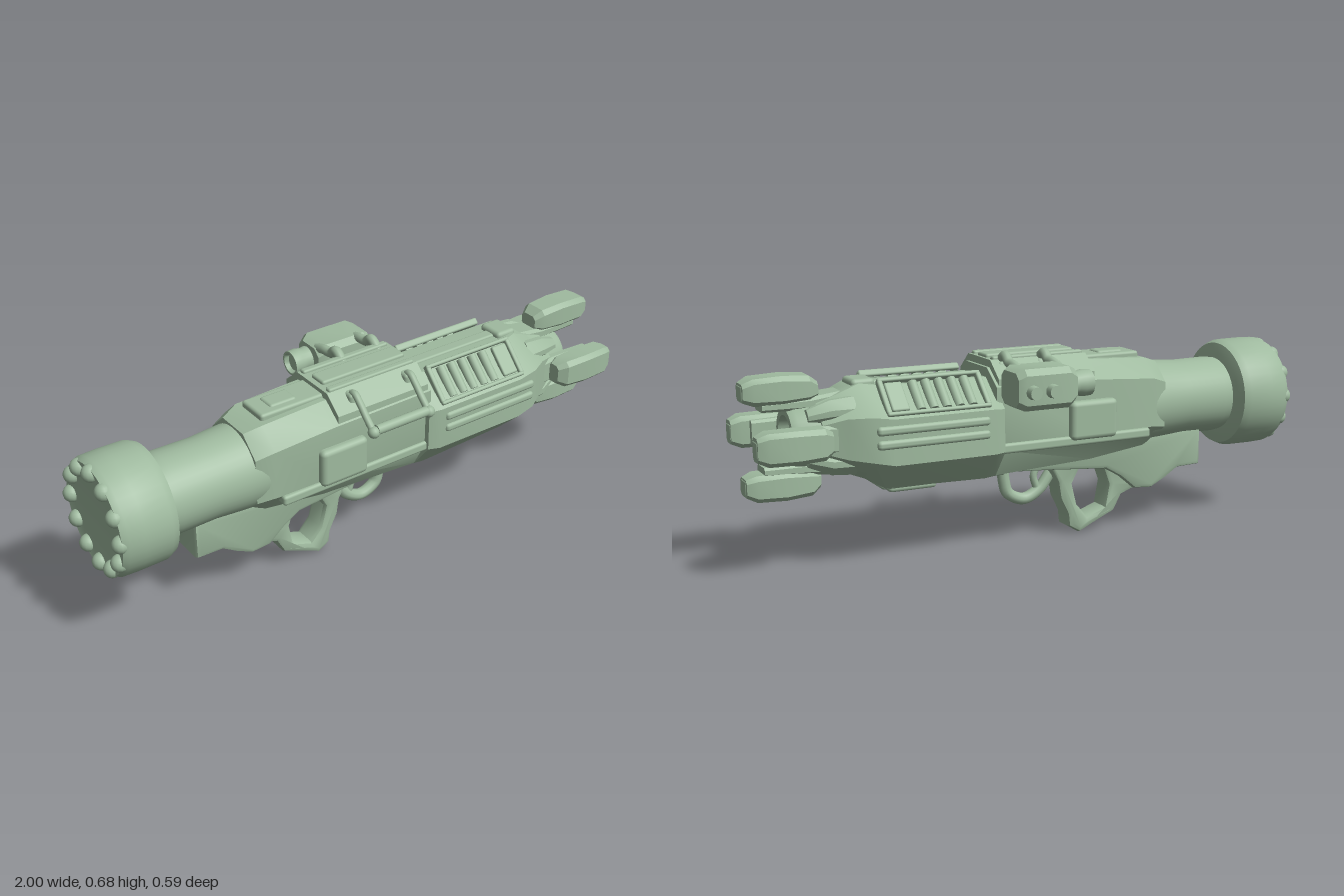
import * as THREE from 'three';
import { toCreasedNormals } from 'three/addons/utils/BufferGeometryUtils.js';
import { RoundedBoxGeometry } from 'three/addons/geometries/RoundedBoxGeometry.js';

const AXIS_Y = 0.455, AXIS_Z = 0.047;
const V = (x, y, z) => new THREE.Vector3(x, y, z);

// Loft of eight-sided sections along x:
// [x, halfWidth, bottom, top, topHalfFlat, bottomHalfFlat, lowShoulder, highShoulder]
function loft(sections) {
  const rings = sections.map(([x, w, yb, yt, ft, fb, yl, yh]) =>
    [[-ft, yt], [ft, yt], [w, yh], [w, yl], [fb, yb], [-fb, yb], [-w, yl], [-w, yh]].map(([z, y]) => [x, y, z]));
  const pos = [], tri = (a, b, c) => pos.push(...a, ...b, ...c);
  for (let s = 0; s + 1 < rings.length; s++) {
    for (let i = 0; i < 8; i++) {
      const j = (i + 1) % 8, p = rings[s], q = rings[s + 1];
      tri(p[i], p[j], q[j]);
      tri(p[i], q[j], q[i]);
    }
  }
  const first = rings[0], last = rings[rings.length - 1];
  for (let i = 1; i < 7; i++) {
    tri(last[0], last[i], last[i + 1]);
    tri(first[0], first[i + 1], first[i]);
  }
  const g = new THREE.BufferGeometry();
  g.setAttribute('position', new THREE.Float32BufferAttribute(pos, 3));
  return toCreasedNormals(g, 0.55);
}

// Chamfered section centred on y
const sec = (x, w, yb, yt, c = 0.02) => [x, w, yb, yt, w - c, w - c, yb + c, yt - c];

// Revolved part around the x axis from [radius, x] points
function turned(points, segments = 40) {
  const g = new THREE.LatheGeometry(points.map(p => new THREE.Vector2(...p)), segments);
  return toCreasedNormals(g.rotateZ(-Math.PI / 2), 0.6);
}

// Side outline extruded across z, with softened edges
function slab(points, width, bevel, hole) {
  const shape = new THREE.Shape(points.map(p => new THREE.Vector2(...p)));
  if (hole) shape.holes.push(new THREE.Path(hole.map(p => new THREE.Vector2(...p))));
  const depth = width - 2 * bevel;
  const g = new THREE.ExtrudeGeometry(shape, { depth, bevelThickness: bevel, bevelSize: bevel, bevelOffset: -bevel, bevelSegments: 2 });
  return toCreasedNormals(g.translate(0, 0, -depth / 2), 0.7);
}

const tube = (pts, r, n = 28) =>
  new THREE.TubeGeometry(new THREE.CatmullRomCurve3(pts.map(p => V(...p))), n, r, 10);

export function createModel() {
  const model = new THREE.Group();
  model.name = 'launcher';
  const metal = new THREE.MeshStandardMaterial({ color: 0x9fba9f });
  metal.name = 'pale green metal';
  const root = new THREE.Group();
  root.name = 'launcherBody';
  root.position.z = AXIS_Z;
  model.add(root);

  const add = (name, geo, x = 0, y = 0, z = 0, parent = root) => {
    const m = new THREE.Mesh(geo, metal);
    m.name = name;
    m.position.set(x, y, z);
    parent.add(m);
    return m;
  };
  const block = (name, x0, x1, y0, y1, z0, z1, r = 0.01) =>
    add(name, new RoundedBoxGeometry(x1 - x0, y1 - y0, z1 - z0, 2, r), (x0 + x1) / 2, (y0 + y1) / 2, (z0 + z1) / 2);

  // Rear drum with a ring of studs, and the round barrel
  add('rearDrum', turned([[0, -0.967], [0.15, -0.967], [0.185, -0.975], [0.195, -0.955], [0.197, -0.9], [0.196, -0.81],
    [0.185, -0.785], [0.155, -0.775], [0.13, -0.77]]), 0, AXIS_Y);
  add('barrel', turned([[0.13, -0.79], [0.137, -0.74], [0.135, -0.6], [0.142, -0.5], [0.147, -0.4]]), 0, AXIS_Y);
  for (let i = 0; i < 12; i++) {
    const a = (i / 12) * Math.PI * 2;
    add('rearStud', new THREE.SphereGeometry(0.029, 14, 10), -0.969, AXIS_Y + 0.163 * Math.cos(a), 0.163 * Math.sin(a));
  }

  // Receiver and raised top deck
  add('receiver', loft([
    [-0.48, 0.13, 0.33, 0.605, 0.06, 0.06, 0.38, 0.54],
    [-0.42, 0.15, 0.31, 0.625, 0.08, 0.08, 0.39, 0.56],
    [-0.2, 0.155, 0.285, 0.635, 0.08, 0.09, 0.38, 0.575],
    [0.19, 0.155, 0.27, 0.635, 0.08, 0.1, 0.37, 0.58]]));
  add('topDeck', loft([
    [-0.18, 0.15, 0.56, 0.66, 0.085, 0.13, 0.57, 0.605],
    [0.18, 0.15, 0.56, 0.66, 0.085, 0.13, 0.57, 0.605]]));
  block('rearTopPlate', -0.41, -0.17, 0.6, 0.646, -0.06, 0.06);
  block('rearTopStep', -0.36, -0.26, 0.62, 0.652, -0.035, 0.035);
  block('deckRidge', -0.16, 0.17, 0.645, 0.672, -0.035, 0.035, 0.008);
  for (const s of [-1, 1]) {
    const side = (name, x0, x1, y0, y1, d0, d1, r) => block(name, x0, x1, y0, y1, Math.min(s * d0, s * d1), Math.max(s * d0, s * d1), r);
    side('sideBox', -0.26, -0.08, 0.375, 0.51, 0.11, 0.18, 0.018);
    side('sideFlange', -0.4, 0.18, 0.355, 0.39, 0.12, 0.165, 0.01);
    side('deckRail', -0.17, 0.17, 0.645, 0.67, 0.06, 0.085, 0.007);
    // Long rails on the fore body
    side('sideRail', 0.23, 0.62, 0.465, 0.495, 0.16, 0.199, 0.012);
    side('sideRail', 0.23, 0.62, 0.42, 0.45, 0.16, 0.199, 0.012);
    // Ribbed window on each upper slope
    const panel = new THREE.Group();
    panel.name = 'ribbedPanel';
    panel.position.set(0.4, 0.573, s * 0.128);
    panel.rotation.x = s * 0.79;
    root.add(panel);
    for (const e of [-1, 1]) {
      add('panelFrame', new RoundedBoxGeometry(0.36, 0.025, 0.014, 2, 0.006), 0, 0, e * 0.066, panel);
      add('panelEnd', new RoundedBoxGeometry(0.018, 0.025, 0.13, 2, 0.006), e * 0.172, 0, 0, panel);
    }
    for (let i = 0; i < 5; i++)
      add('panelRib', new THREE.CylinderGeometry(0.016, 0.016, 0.11, 12).rotateX(Math.PI / 2), -0.12 + i * 0.045, -0.004, 0, panel);
    add('panelCover', new RoundedBoxGeometry(0.06, 0.018, 0.11, 2, 0.006), 0.13, 0, 0, panel);
  }

  // Fore body, tapering towards the muzzle
  add('foreBody', loft([
    [0.17, 0.175, 0.27, 0.6, 0.07, 0.1, 0.365, 0.51],
    [0.21, 0.19, 0.265, 0.605, 0.075, 0.1, 0.365, 0.515],
    [0.56, 0.19, 0.27, 0.605, 0.075, 0.09, 0.365, 0.515],
    [0.63, 0.185, 0.31, 0.615, 0.06, 0.08, 0.38, 0.525],
    [0.7, 0.145, 0.335, 0.585, 0.05, 0.06, 0.39, 0.52],
    [0.77, 0.11, 0.35, 0.56, 0.045, 0.045, 0.41, 0.5]]));
  block('topSpine', 0.2, 0.6, 0.59, 0.613, -0.022, 0.022, 0.008);
  block('foreTopBump', 0.57, 0.65, 0.59, 0.626, -0.05, 0.05, 0.014);
  block('lowerBlock', 0.365, 0.535, 0.243, 0.3, -0.06, 0.06, 0.012);
  block('lowerRail', 0.12, 0.57, 0.262, 0.3, -0.085, 0.085, 0.012);

  // Muzzle with a dished bore
  add('muzzle', turned([[0.13, 0.68], [0.108, 0.76], [0.1, 0.84], [0.088, 0.86], [0.068, 0.86], [0.064, 0.82], [0.045, 0.79], [0, 0.775]]), 0, AXIS_Y);

  // Four prongs with struts, and diagonal lugs between them
  for (let i = 0; i < 4; i++) {
    const arm = new THREE.Group();
    arm.name = 'muzzleArm';
    arm.position.y = AXIS_Y;
    arm.rotation.x = (i * Math.PI) / 2;
    root.add(arm);
    add('prong', loft([sec(0.755, 0.034, 0.122, 0.172, 0.012), sec(0.785, 0.05, 0.112, 0.194, 0.016), sec(0.87, 0.053, 0.108, 0.2, 0.015),
      sec(0.965, 0.052, 0.11, 0.196, 0.015), sec(0.998, 0.038, 0.122, 0.18, 0.012)]), 0, 0, 0, arm);
    add('prongTip', new RoundedBoxGeometry(0.008, 0.045, 0.05, 1, 0.003), 0.996, 0.15, 0, arm);
    add('strut', loft([sec(0.66, 0.045, 0.08, 0.14, 0.01), sec(0.78, 0.045, 0.085, 0.125, 0.01), sec(0.94, 0.04, 0.088, 0.118, 0.008)]), 0, 0, 0, arm);
    const lug = new THREE.Group();
    lug.name = 'muzzleLug';
    lug.rotation.x = Math.PI / 4;
    arm.add(lug);
    add('lug', loft([sec(0.66, 0.036, 0.09, 0.155, 0.012), sec(0.74, 0.034, 0.085, 0.15, 0.014), sec(0.81, 0.022, 0.085, 0.118, 0.01)]), 0, 0, 0, lug);
  }

  // Lower housing, grip frame and trigger guard
  add('lowerHousing', slab([[-0.675, 0.35], [-0.675, 0.21], [-0.58, 0.207], [-0.53, 0.175], [-0.47, 0.145], [-0.4, 0.15], [-0.34, 0.2],
    [-0.28, 0.235], [-0.05, 0.255], [0.1, 0.265], [0.1, 0.35]], 0.145, 0.015));
  add('gripFrame', slab([[-0.47, 0.27], [-0.47, 0.15], [-0.4, 0.14], [-0.36, 0.125], [-0.33, 0.07], [-0.26, 0.04], [-0.19, 0.008], [-0.145, 0.035],
    [-0.14, 0.08], [-0.11, 0.14], [-0.1, 0.2], [-0.06, 0.27]], 0.094, 0.018,
  [[-0.285, 0.225], [-0.24, 0.243], [-0.185, 0.235], [-0.16, 0.19], [-0.18, 0.11], [-0.22, 0.065], [-0.29, 0.09], [-0.305, 0.17]]));
  add('triggerGuard', tube([[-0.09, 0.23, 0], [-0.045, 0.175, 0], [0.015, 0.148, 0], [0.075, 0.175, 0], [0.09, 0.22, 0], [0.095, 0.28, 0]], 0.021));
  add('trigger', tube([[-0.045, 0.27, 0], [-0.025, 0.225, 0], [-0.035, 0.185, 0]], 0.013, 12));

  // Carrying handle on the front side
  const barZ = 0.23;
  for (const x of [-0.1, 0.122]) {
    add('handleArm', tube([[x, 0.63, 0.09], [x, 0.652, 0.125], [x, 0.63, 0.155], [x, 0.595, 0.19], [x, 0.56, barZ]], 0.012));
    add('handleFoot', new RoundedBoxGeometry(0.04, 0.04, 0.05, 2, 0.012), x, 0.632, 0.105);
    add('handleJoint', new THREE.SphereGeometry(0.02, 14, 10), x, 0.56, barZ);
  }
  add('handleBar', new THREE.CylinderGeometry(0.017, 0.017, 0.2, 16).rotateZ(Math.PI / 2), 0.011, 0.565, barZ);

  // Sight on the back side with two arched mounts and knobs
  for (const x of [-0.01, 0.135]) {
    add('sightMount', tube([[x, 0.62, -0.05], [x, 0.66, -0.08], [x, 0.675, -0.108], [x, 0.655, -0.135], [x, 0.65, -0.175], [x, 0.635, -0.225]], 0.017));
    add('mountFoot', new RoundedBoxGeometry(0.05, 0.05, 0.06, 2, 0.015), x, 0.63, -0.075);
  }
  const sightZ = -0.242;
  add('sightBody', loft([sec(-0.03, 0.06, 0.535, 0.645, 0.025), sec(0, 0.074, 0.522, 0.658, 0.02),
    sec(0.16, 0.074, 0.522, 0.658, 0.02), sec(0.185, 0.062, 0.535, 0.645, 0.02)]), 0, 0, sightZ);
  add('eyepiece', turned([[0, -0.085], [0.03, -0.085], [0.036, -0.1], [0.043, -0.1], [0.045, -0.07], [0.04, -0.05], [0.045, -0.01]], 20), 0, 0.59, sightZ - 0.01);
  for (const x of [0.07, 0.14]) {
    add('sightKnob', new THREE.CylinderGeometry(0.021, 0.025, 0.045, 16).rotateX(-Math.PI / 2), x, 0.585, -0.32);
  }
  return model;
}
